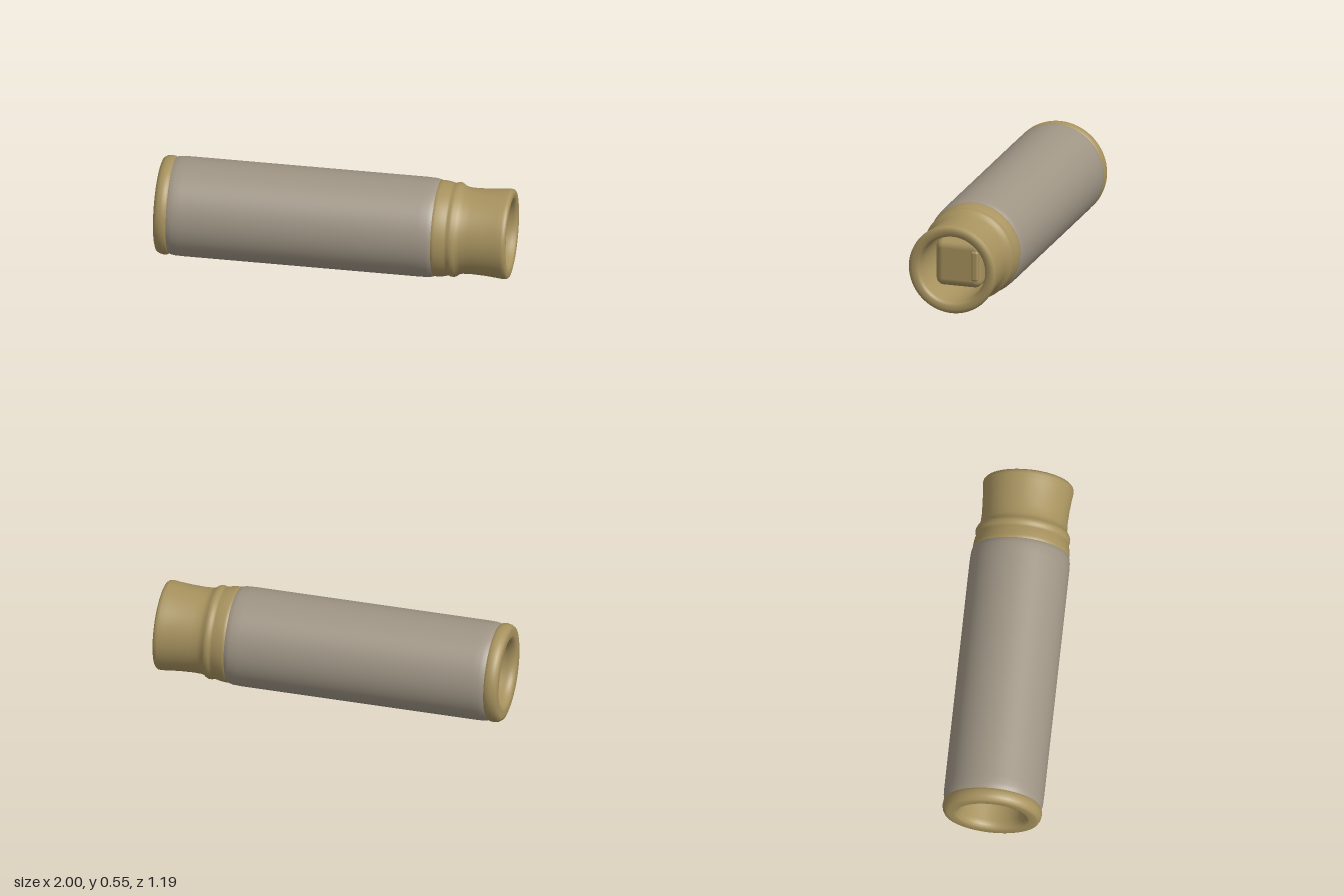
import * as THREE from 'three';
import { RoundedBoxGeometry } from 'three/addons/geometries/RoundedBoxGeometry.js';

export function createModel() {
  const brass = new THREE.MeshStandardMaterial({ color: 0xa8935f });
  brass.name = 'brass';
  const grey = new THREE.MeshStandardMaterial({ color: 0x9f9585 });
  grey.name = 'warm grey';

  const tube = new THREE.Group();
  tube.name = 'tube';

  function add(name, geometry, material, x = 0, z = 0) {
    const mesh = new THREE.Mesh(geometry, material);
    mesh.name = name;
    mesh.position.set(x, 0, z);
    tube.add(mesh);
  }

  // Turned part along x; profile points are [radius, position]
  function turned(name, profile, material) {
    const points = profile.map(([r, s]) => new THREE.Vector2(r, s));
    const geometry = new THREE.LatheGeometry(points, 64);
    geometry.rotateZ(-Math.PI / 2);
    add(name, geometry, material);
  }

  // Grey sleeve
  turned('sleeve', [
    [0.264, -0.895], [0.27, -0.885], [0.274, -0.86], [0.275, -0.82],
    [0.275, 0.5], [0.273, 0.55], [0.268, 0.575], [0.258, 0.585],
  ], grey);

  // Rounded rear rim with its bore, closed deep inside
  turned('rearRim', [
    [0, 0.45], [0.18, 0.45], [0.18, 0.449], [0.18, -0.92], [0.184, -0.945], [0.195, -0.96],
    [0.21, -0.966], [0.245, -0.966], [0.26, -0.961], [0.27, -0.945],
    [0.274, -0.925], [0.272, -0.905], [0.264, -0.89], [0.255, -0.885],
  ], brass);

  // Stepped front collar with a raised ring, flared mouth and bore
  turned('frontCollar', [
    [0.255, 0.57], [0.265, 0.578], [0.266, 0.595], [0.262, 0.63], [0.256, 0.652],
    [0.255, 0.662], [0.26, 0.672], [0.261, 0.688], [0.255, 0.702], [0.245, 0.714],
    [0.239, 0.735], [0.237, 0.78], [0.24, 0.86], [0.246, 0.93], [0.25, 0.962],
    [0.248, 0.978], [0.24, 0.987], [0.225, 0.99], [0.205, 0.988], [0.194, 0.98],
    [0.188, 0.965], [0.187, 0.94], [0.187, 0.501], [0.187, 0.5], [0, 0.5],
  ], brass);

  // Squared plug standing inside the mouth, with a small raised tab
  add('plug', new RoundedBoxGeometry(0.38, 0.265, 0.265, 4, 0.045), brass, 0.69);
  add('plugTab', new RoundedBoxGeometry(0.03, 0.17, 0.04, 3, 0.012), brass, 0.875, -0.1);

  // Lay the tube diagonally on the ground
  tube.rotation.y = THREE.MathUtils.degToRad(-21.5);
  tube.position.set(0, 0.278, 0.005);

  const model = new THREE.Group();
  model.name = 'model';
  model.add(tube);
  return model;
}
